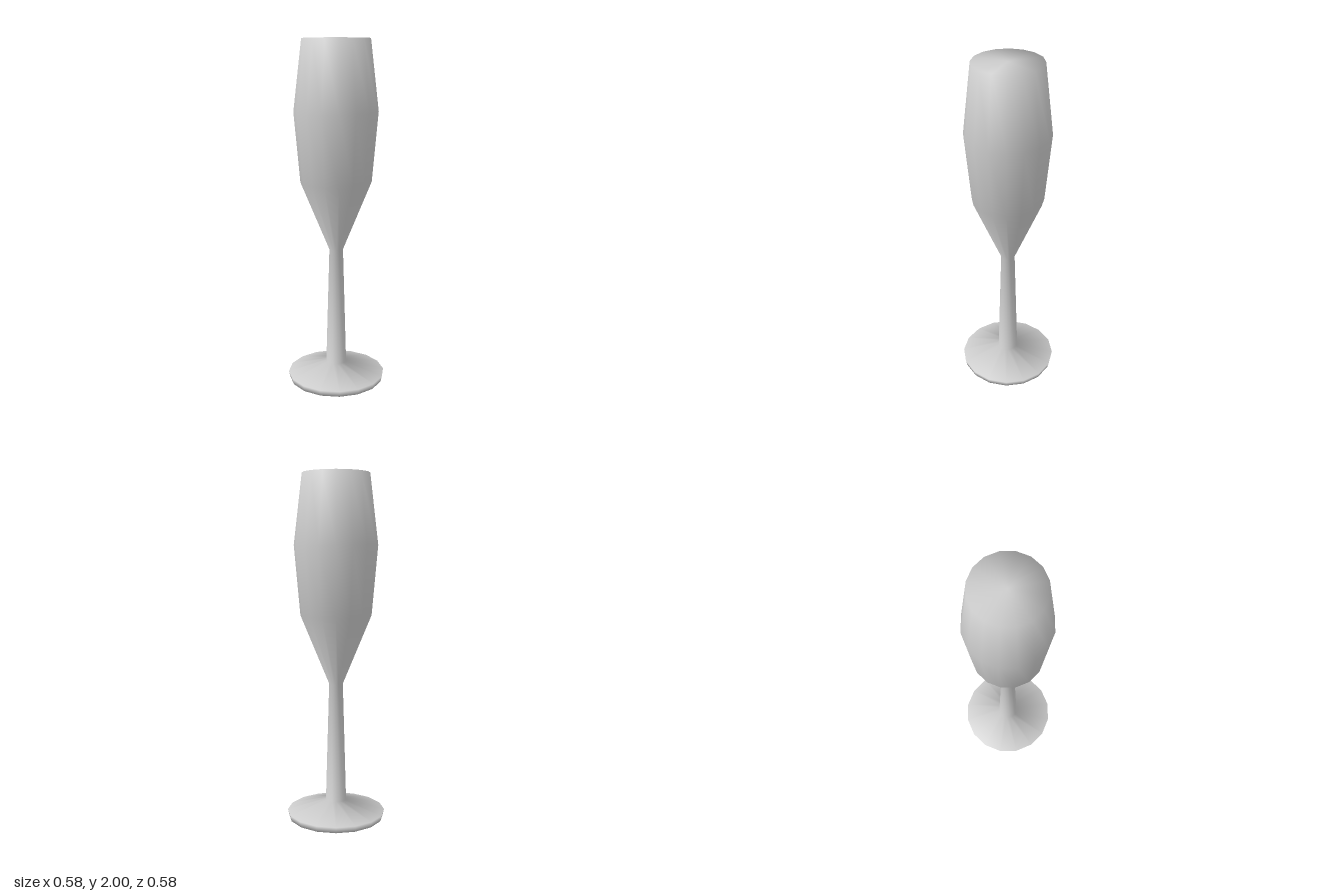
import * as THREE from 'three';

const SIDES = 16;

// Radius and height of each ring, from the underside of the foot to the top of the bowl
const PROFILE = [
  [0, 0], [0.28, 0], [0.288, 0.035], [0.06, 0.1],   // foot
  [0.04, 0.8],                                      // stem
  [0.205, 1.2], [0.24, 1.6], [0.192, 2], [0, 2],    // bowl and its closed top
];

// Takes the bands between two rings of the turned body, keeping its smooth normals
function sliceBands(body, from, to) {
  const bands = PROFILE.length - 1;
  const index = [];
  for (let side = 0; side < SIDES; side++) {
    for (let k = (side * bands + from) * 6; k < (side * bands + to) * 6; k++) {
      index.push(body.index.getX(k));
    }
  }
  const part = body.clone();
  part.setIndex(index);
  return part;
}

export function createModel() {
  const group = new THREE.Group();
  group.name = 'champagneFlute';

  const glass = new THREE.MeshStandardMaterial({ color: 0xcccccc });
  glass.name = 'pale grey';

  const points = PROFILE.map(([r, y]) => new THREE.Vector2(r, y));
  const body = new THREE.LatheGeometry(points, SIDES);

  for (const [name, from, to] of [['foot', 0, 3], ['stem', 3, 4], ['bowl', 4, 8]]) {
    const mesh = new THREE.Mesh(sliceBands(body, from, to), glass);
    mesh.name = name;
    group.add(mesh);
  }
  return group;
}
